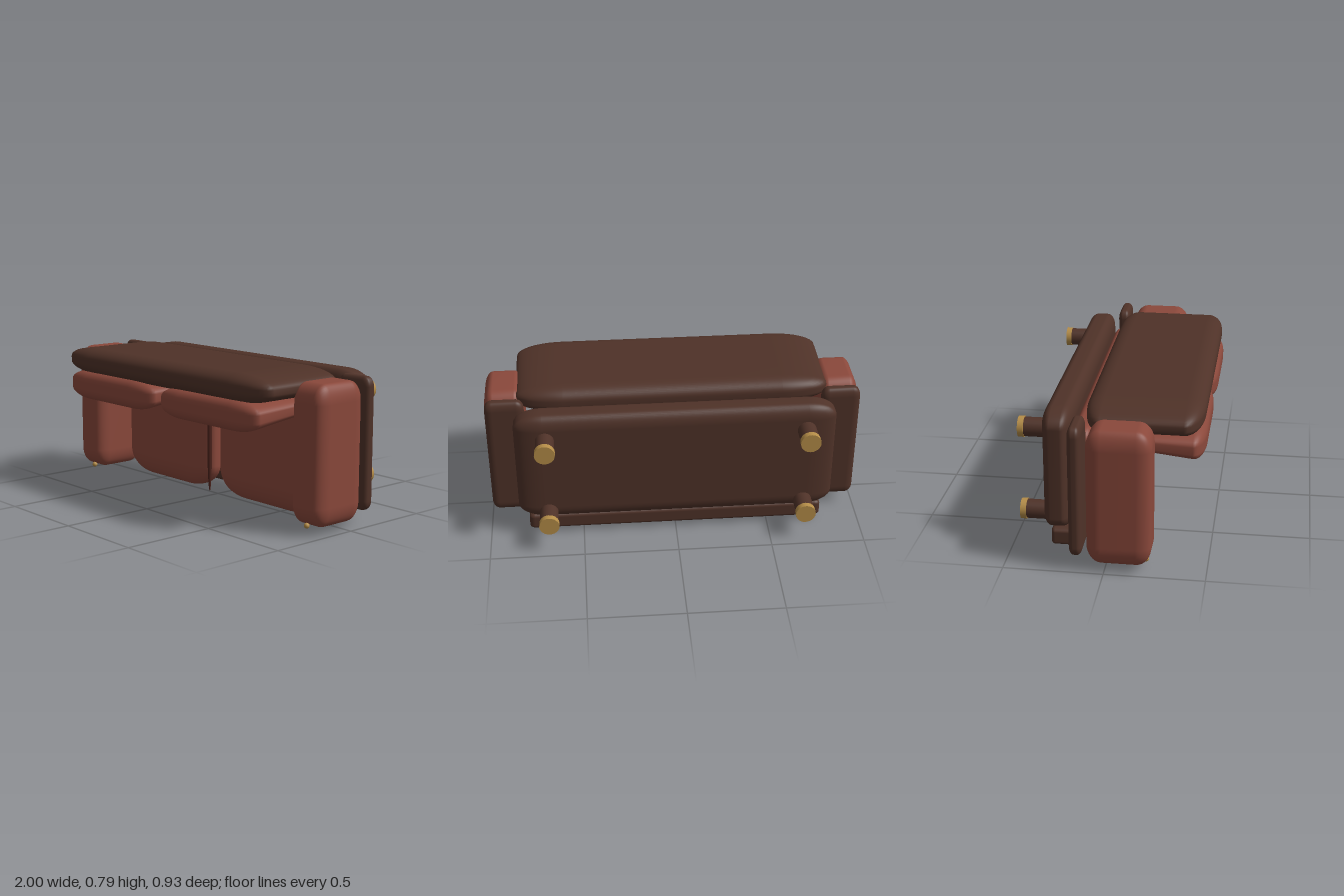
import * as THREE from 'three';
import { RoundedBoxGeometry } from 'three/addons/geometries/RoundedBoxGeometry.js';
import { mergeVertices } from 'three/addons/utils/BufferGeometryUtils.js';

const mat = (color) => new THREE.MeshStandardMaterial({ color });

// A two-seat sofa resting on its back: its seat faces +z-wards, its legs point to -z
export function createModel() {
  const model = new THREE.Group();
  const leather = mat(0x8a483b), darkLeather = mat(0x4f3228), brass = mat(0xb58d48), seamDark = mat(0x4a221b);

  const add = (name, geometry, material, x = 0, y = 0, z = 0) => {
    const mesh = new THREE.Mesh(geometry, material);
    mesh.name = name;
    mesh.position.set(x, y, z);
    model.add(mesh);
    return mesh;
  };

  // Padded block between two corners, with its own edge rounding along each axis
  const pad = (name, material, lo, hi, radii, bend) => {
    let g = new RoundedBoxGeometry(1, 1, 1, 5, 0.25);
    g.deleteAttribute('normal');
    g.deleteAttribute('uv');
    g = mergeVertices(g, 1e-4);
    const p = g.attributes.position;
    for (let i = 0; i < p.count; i++) {
      const v = [0, 1, 2].map((a) => {
        const half = (hi[a] - lo[a]) / 2, r = Math.min(radii[a], half * 0.95);
        const c = p.getComponent(i, a), m = Math.abs(c);
        const out = m <= 0.25 ? (m / 0.25) * (half - r) : half - r + ((m - 0.25) / 0.25) * r;
        return (lo[a] + hi[a]) / 2 + Math.sign(c) * out;
      });
      if (bend) bend(v);
      p.setXYZ(i, ...v);
    }
    g.computeVertexNormals();
    return add(name, g, material);
  };

  // Frame: backrest, base, seat deck and front rail
  pad('backrest', darkLeather, [-0.83, 0.64, -0.13], [0.83, 0.785, 0.457], [0.25, 0.06, 0.09]);
  pad('base', darkLeather, [-0.84, 0.12, -0.337], [0.84, 0.758, -0.185], [0.15, 0.08, 0.05]);
  pad('seatDeck', leather, [-0.8, 0.09, -0.19], [0.8, 0.67, -0.08], [0.08, 0.06, 0.04]);
  pad('frontRail', darkLeather, [-0.79, 0.026, -0.297], [0.79, 0.118, -0.147], [0.03, 0.02, 0.02]);

  for (const s of [-1, 1]) {
    const span = (a, b) => (s > 0 ? [a, b] : [-b, -a]);
    const side = s > 0 ? 'left' : 'right';

    // Arm and the panel under it
    const [a0, a1] = span(0.79, 1);
    pad(side + 'Arm', leather, [a0, 0.04, -0.088], [a1, 0.75, 0.231], [0.05, 0.1, 0.075]);
    const [b0, b1] = span(0.785, 0.99);
    pad(side + 'ArmPanel', darkLeather, [b0, 0.075, -0.175], [b1, 0.757, -0.108], [0.04, 0.05, 0.025]);

    // Seat cushion
    const [c0, c1] = span(0.028, 0.778);
    pad(side + 'SeatCushion', leather, [c0, 0.016, -0.1], [c1, 0.66, 0.06], [0.2, 0.13, 0.07]);

    // Back cushion, thinning towards the seat
    pad(side + 'BackCushion', leather, [c0, 0.5, 0.03], [c1, 0.66, 0.467], [0.18, 0.06, 0.06], (v) => {
      const t = Math.max(0, 0.42 - v[2]) / 0.39;
      v[1] += ((0.66 - v[1]) / 0.16) * 0.055 * t;
    });

    // Tufting tabs below the back cushion
    for (const x of [0.25, 0.41, 0.565])
      add(side + 'Tab', new THREE.BoxGeometry(0.05, 0.01, 0.037), seamDark, s * x, 0.495, 0.269);

    // Legs with brass feet
    for (const y of [0.17, 0.625]) {
      add(side + 'Leg', new THREE.CylinderGeometry(0.049, 0.049, 0.13, 24).rotateX(Math.PI / 2), darkLeather, s * 0.68, y, -0.375);
      add(side + 'Foot', new THREE.CylinderGeometry(0.053, 0.053, 0.03, 24).rotateX(Math.PI / 2), brass, s * 0.68, y, -0.45);
    }

    // Studs down the arm front
    for (let i = 0; i < 4; i++)
      add(side + 'ArmStud', new THREE.SphereGeometry(0.0145, 12, 8), brass, s * 0.89, 0.042, 0.199 - i * 0.081);
  }

  // Seam between the seat cushions
  const seam = add('centreSeam', new THREE.SphereGeometry(1, 12, 24), seamDark, 0, 0.3, 0.06);
  seam.scale.set(0.012, 0.275, 0.014);

  // Studs along the front rail
  for (let i = -4; i <= 4; i++)
    add('railStud', new THREE.SphereGeometry(0.0145, 12, 8), brass, i * 0.16, 0.0145, -0.212);

  return model;
}
